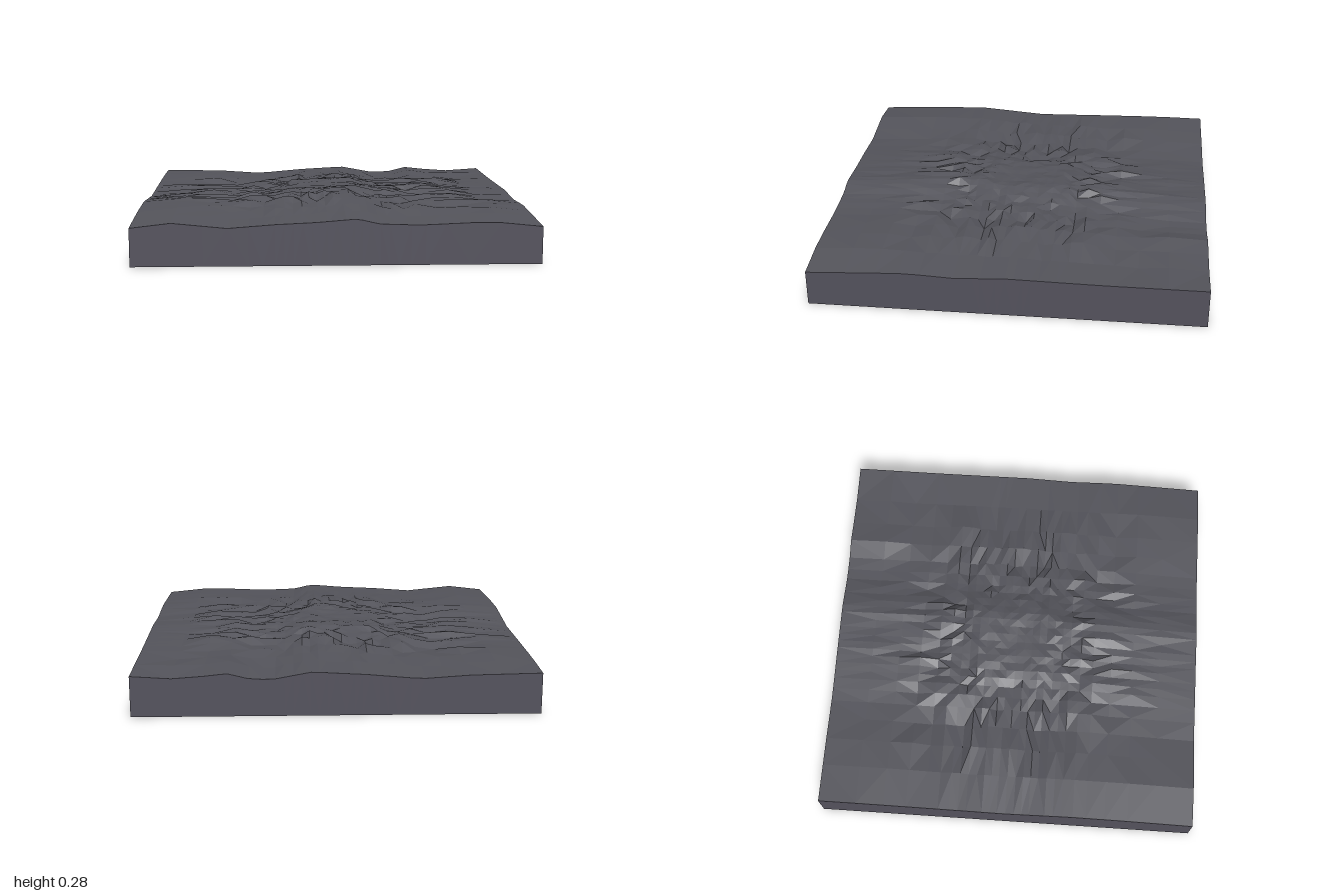
import * as THREE from 'three';

const rock = new THREE.MeshStandardMaterial({ color: 0x54545b, flatShading: true, side: THREE.DoubleSide });
rock.name = 'slate rock';
const edge = new THREE.MeshStandardMaterial({ color: 0x54525d, flatShading: true, side: THREE.DoubleSide });
edge.name = 'slate wall';

// Grid lines lie closer together towards the centre
const half = [1, .8, .65, .53, .43, .36, .3, .255, .21, .165, .125, .085, .045];
const lines = [...half.map(v => -v), 0, ...half.slice().reverse()];
const N = lines.length - 1;

// Border heights as [position, height] pairs
const borders = {
  front: [[-1, .19], [-.8, .213], [-.53, .186], [-.3, .203], [-.1, .212], [.1, .228], [.2, .203], [.4, .196], [.75, .21], [1, .185]],
  back: [[-1, .205], [-.65, .198], [-.41, .182], [-.15, .205], [.12, .22], [.32, .183], [.43, .19], [.53, .215], [.77, .19], [1, .205]],
  left: [[-1, .205], [-.74, .207], [-.4, .2], [0, .19], [.36, .217], [.65, .21], [1, .19]],
  right: [[-1, .205], [-.5, .205], [0, .212], [.25, .198], [.5, .21], [1, .185]],
};

function sample(pairs, t) {
  for (let i = 1; i < pairs.length; i++) {
    const [a, ha] = pairs[i - 1], [b, hb] = pairs[i];
    if (t <= b) return THREE.MathUtils.lerp(ha, hb, (t - a) / (b - a));
  }
  return pairs[pairs.length - 1][1];
}

// Repeatable value from -1 to 1 for each grid point
function hash(i, j) {
  const s = Math.sin(i * 127.1 + j * 311.7 + 4.7) * 43758.5453;
  return 2 * (s - Math.floor(s)) - 1;
}

function height(i, j) {
  const x = lines[i], z = lines[j];
  const u = (x + 1) / 2, v = (z + 1) / 2;
  const { lerp, smoothstep } = THREE.MathUtils;
  // Blend the four borders across the slab
  const along = lerp(sample(borders.back, x), sample(borders.front, x), v);
  const across = lerp(sample(borders.left, z), sample(borders.right, z), u);
  const corners = lerp(.205, lerp(.19, .185, u), v);
  // Broken rock in a wide ring, fading to gentle facets near the borders
  const m = Math.max(Math.abs(x), Math.abs(z));
  const reach = Math.max(Math.abs(x) * .82, Math.abs(z));
  const rough = lerp(.3, 1, 1 - smoothstep(reach, .46, .65)) * (1 - smoothstep(m, .8, 1));
  const calm = lerp(.2, 1, smoothstep(m, .08, .42));
  const broad = hash(i >> 1, (j >> 1) + 50);
  const rubble = (.016 * hash(i, j) + .012 * broad) * calm;
  // Low square platform with a shallow hollow in it
  const swell = .016 * (1 - smoothstep(Math.hypot(x, z), .3, .85));
  const platform = .016 * (1 - smoothstep(m, .2, .33)) - .008 * (1 - smoothstep(m, .05, .16));
  return along + across - corners + rough * (rubble + .004) + swell + platform;
}

// Surface from point(i, j), facing the cross product of its two directions
function surface(name, rows, point, material) {
  const positions = [], index = [];
  for (let j = 0; j <= rows; j++) for (let i = 0; i <= N; i++) positions.push(...point(i, j));
  for (let j = 0; j < rows; j++) {
    for (let i = 0; i < N; i++) {
      const a = j * (N + 1) + i, d = a + N + 1;
      if (hash(i + 90, j) > 0) index.push(a, a + 1, d + 1, a, d + 1, d);
      else index.push(a, a + 1, d, a + 1, d + 1, d);
    }
  }
  let geometry = new THREE.BufferGeometry();
  geometry.setAttribute('position', new THREE.Float32BufferAttribute(positions, 3));
  geometry.setIndex(index);
  geometry = geometry.toNonIndexed();
  geometry.computeVertexNormals();
  const mesh = new THREE.Mesh(geometry, material);
  mesh.name = name;
  return mesh;
}

export function createModel() {
  const group = new THREE.Group();
  group.name = 'rockyGroundTile';

  // Rugged top
  group.add(surface('terrain', N, (i, j) => [lines[i], height(i, N - j), lines[N - j]], rock));

  // Four skirts down to the ground, with the underside left open
  const walls = {
    frontWall: i => [i, N],
    rightWall: i => [N, N - i],
    backWall: i => [N - i, 0],
    leftWall: i => [0, i],
  };
  for (const [name, at] of Object.entries(walls)) {
    group.add(surface(name, 1, (i, j) => {
      const [a, b] = at(i);
      return [lines[a], j ? height(a, b) : 0, lines[b]];
    }, edge));
  }
  return group;
}
